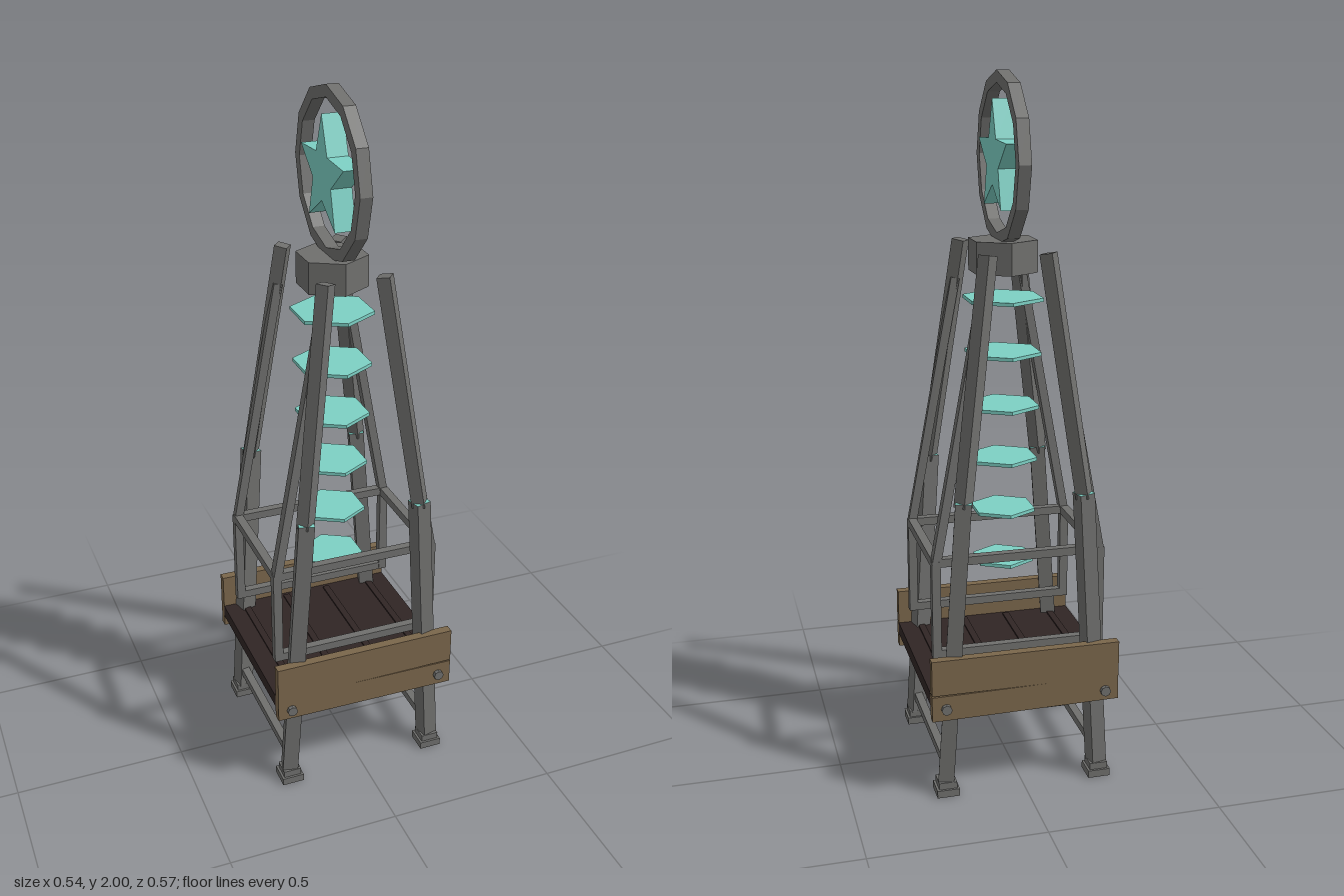
import * as THREE from 'three';

const mat = (name, color) => {
  const m = new THREE.MeshStandardMaterial({ color, flatShading: true });
  m.name = name;
  return m;
};

export function createModel() {
  const steel = mat('steel grey', 0x6f6f6d);
  const wood = mat('plank brown', 0x7a664b);
  const dark = mat('dark deck', 0x302524);
  const teal = mat('teal', 0x7dd0c4);
  const model = new THREE.Group();

  const add = (name, geometry, material, x = 0, y = 0, z = 0) => {
    const m = new THREE.Mesh(geometry, material);
    m.name = name;
    m.position.set(x, y, z);
    model.add(m);
    return m;
  };
  const box = (name, material, w, h, d, x, y, z) =>
    add(name, new THREE.BoxGeometry(w, h, d), material, x, y, z);

  // square bar running from point a to point b
  const beam = (name, a, b, width, material = steel) => {
    const p = new THREE.Vector3(...a), q = new THREE.Vector3(...b);
    const m = box(name, material, width, width, p.distanceTo(q), 0, 0, 0);
    m.position.lerpVectors(p, q, 0.5);
    m.lookAt(q);
    return m;
  };

  // shape drawn in the z-y plane, thickness along x
  const upright = (name, shape, depth, material, y) => {
    const g = new THREE.ExtrudeGeometry(shape, { depth, bevelEnabled: false });
    g.translate(0, 0, -depth / 2).rotateY(Math.PI / 2);
    return add(name, g, material, 0, y, 0);
  };
  const polygon = (n, radius) => Array.from({ length: n }, (_, i) => {
    const a = Math.PI / 2 + (i / n) * Math.PI * 2, r = radius(i);
    return new THREE.Vector2(Math.cos(a) * r, Math.sin(a) * r);
  });

  // ring and star on top
  const ring = new THREE.Shape(polygon(12, () => 0.233));
  ring.holes.push(new THREE.Path(polygon(12, () => 0.2).reverse()));
  upright('ring', ring, 0.035, steel, 1.767);
  const star = new THREE.Shape(polygon(10, (i) => (i % 2 ? 0.068 : 0.16)));
  upright('star', star, 0.06, teal, 1.766);

  // hexagonal hub with the floating plates under it
  add('hub', new THREE.CylinderGeometry(0.1, 0.1, 0.09, 6), steel, 0, 1.505, 0);
  for (let i = 0; i < 6; i++) {
    const r = 0.118 - i * 0.0055;
    add('hexPlate', new THREE.CylinderGeometry(r, r, 0.01, 6), teal, 0, 1.385 - i * 0.154, 0);
  }

  // four corners: legs, feet and inner struts
  const legMaterials = [steel, steel, steel, steel, teal, teal];
  for (const sx of [-1, 1]) {
    for (const sz of [-1, 1]) {
      const at = (x, y, z) => [sx * x, y, sz * z];
      beam('lowerLeg', at(0.225, 0.035, 0.223), at(0.17, 0.875, 0.236), 0.045, legMaterials);
      beam('upperLeg', at(0.172, 0.86, 0.236), at(0.083, 1.53, 0.165), 0.037);
      box('foot', steel, 0.065, 0.022, 0.065, ...at(0.225, 0.011, 0.225));
      box('footCollar', steel, 0.052, 0.02, 0.052, ...at(0.225, 0.032, 0.225));
      beam('innerPost', at(0.238, 0.4, 0.175), at(0.238, 0.69, 0.175), 0.025);
      beam('innerStrut', at(0.238, 0.68, 0.175), at(0.1, 1.42, 0.167), 0.025);
    }
    // side rails, foot braces and the rods through the boards
    beam('sideRail', [sx * 0.238, 0.685, -0.175], [sx * 0.238, 0.685, 0.175], 0.025);
    beam('footBrace', [sx * 0.222, 0.09, -0.21], [sx * 0.222, 0.09, 0.21], 0.024);
    const rod = add('boltRod', new THREE.CylinderGeometry(0.015, 0.015, 0.566, 8), steel, sx * 0.232, 0.285, 0);
    rod.rotation.x = Math.PI / 2;
  }

  // rails and boards across the front and back
  for (const sz of [-1, 1]) {
    for (const y of [0.412, 0.685]) {
      beam('crossRail', [-0.238, y, sz * 0.175], [0.238, y, sz * 0.175], 0.024);
    }
    box('upperBoard', wood, 0.544, 0.104, 0.027, 0, 0.379, sz * 0.2585);
    const lower = box('lowerBoard', wood, 0.544, 0.074, 0.026, 0, 0.289, sz * 0.2585);
    lower.rotation.z = -0.012;
  }

  // deck with raised battens
  box('deck', dark, 0.544, 0.038, 0.49, 0, 0.308, 0);
  for (const x of [-0.207, -0.068, 0.068, 0.207]) {
    box('deckBatten', dark, 0.02, 0.006, 0.46, x, 0.329, 0);
  }
  return model;
}
